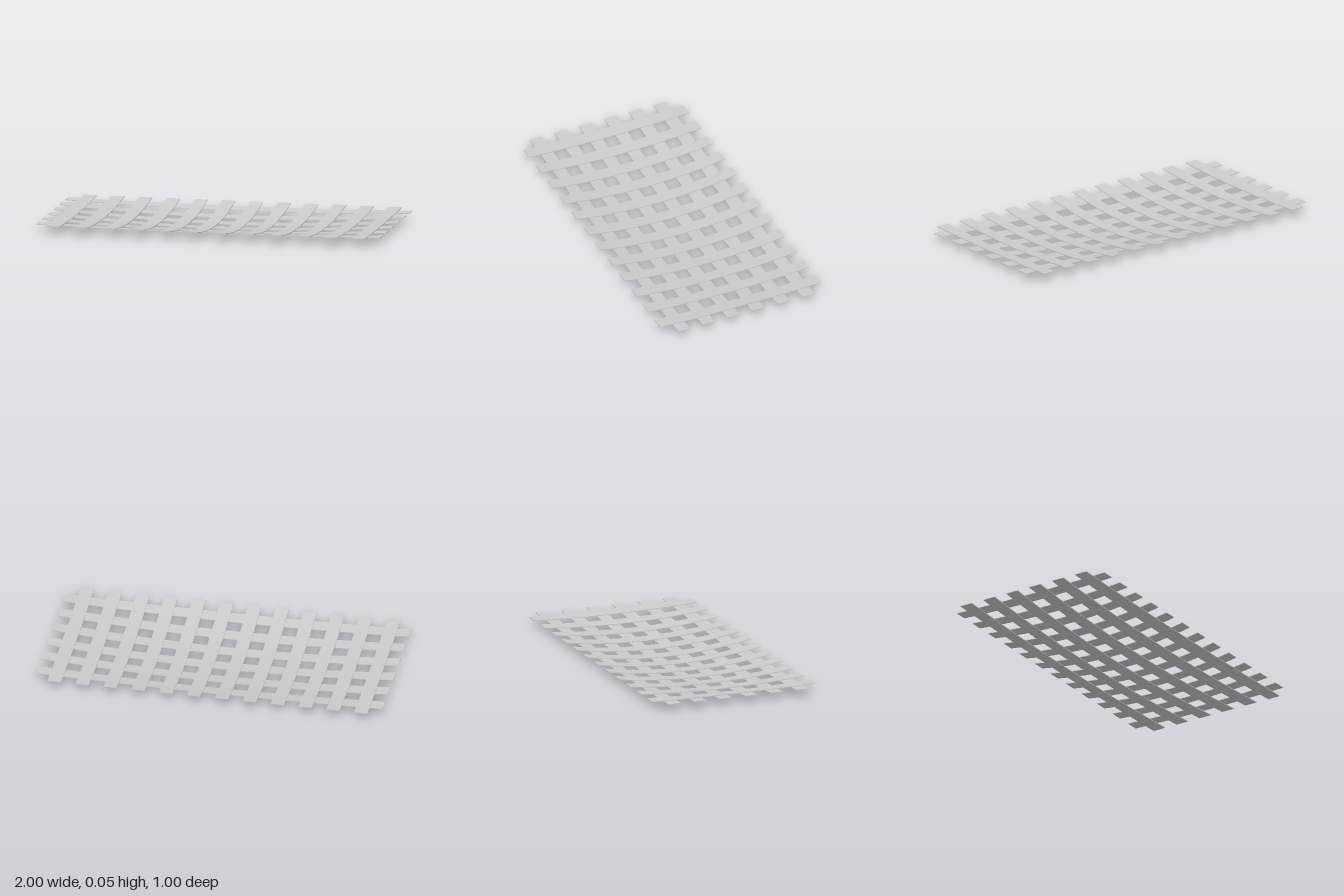
import * as THREE from 'three';

const HALF_X = 1, HALF_Z = 0.5;
const SAG = 0.047, THICK = 0.004, WIDTH = 0.077;

// Height of the sagging sheet: level along the rim, lowest in the middle
function sagHeight(x, z) {
  return SAG * (1 - (1 - (x / HALF_X) ** 2) * (1 - (z / HALF_Z) ** 2));
}

// A thin strip bent to follow the sagging sheet
function makeSlat(name, sizeX, sizeZ, cx, cy, cz, material) {
  const segX = sizeX > sizeZ ? 32 : 2;
  const segZ = sizeX > sizeZ ? 2 : 20;
  const geo = new THREE.BoxGeometry(sizeX, THICK, sizeZ, segX, 1, segZ);
  geo.translate(cx, cy, cz);
  const p = geo.attributes.position;
  for (let i = 0; i < p.count; i++) {
    p.setY(i, p.getY(i) + sagHeight(p.getX(i), p.getZ(i)));
  }
  geo.computeVertexNormals();
  const mesh = new THREE.Mesh(geo, material);
  mesh.name = name;
  return mesh;
}

export function createModel() {
  const model = new THREE.Group();
  model.name = 'slatLattice';
  const material = new THREE.MeshStandardMaterial({ color: 0xcccccc });

  // Lower layer: six long slats running side to side
  const longSlats = new THREE.Group();
  longSlats.name = 'longSlats';
  for (let i = 0; i < 6; i++) {
    const z = (i - 2.5) * 0.1555;
    longSlats.add(makeSlat('longSlat', 2 * HALF_X, WIDTH, 0, THICK / 2, z, material));
  }

  // Upper layer: twelve short slats running front to back
  const crossSlats = new THREE.Group();
  crossSlats.name = 'crossSlats';
  for (let i = 0; i < 12; i++) {
    const x = (i - 5.5) * 0.161;
    crossSlats.add(makeSlat('crossSlat', WIDTH, 2 * HALF_Z, x, THICK * 1.5, 0, material));
  }

  model.add(longSlats, crossSlats);
  return model;
}
